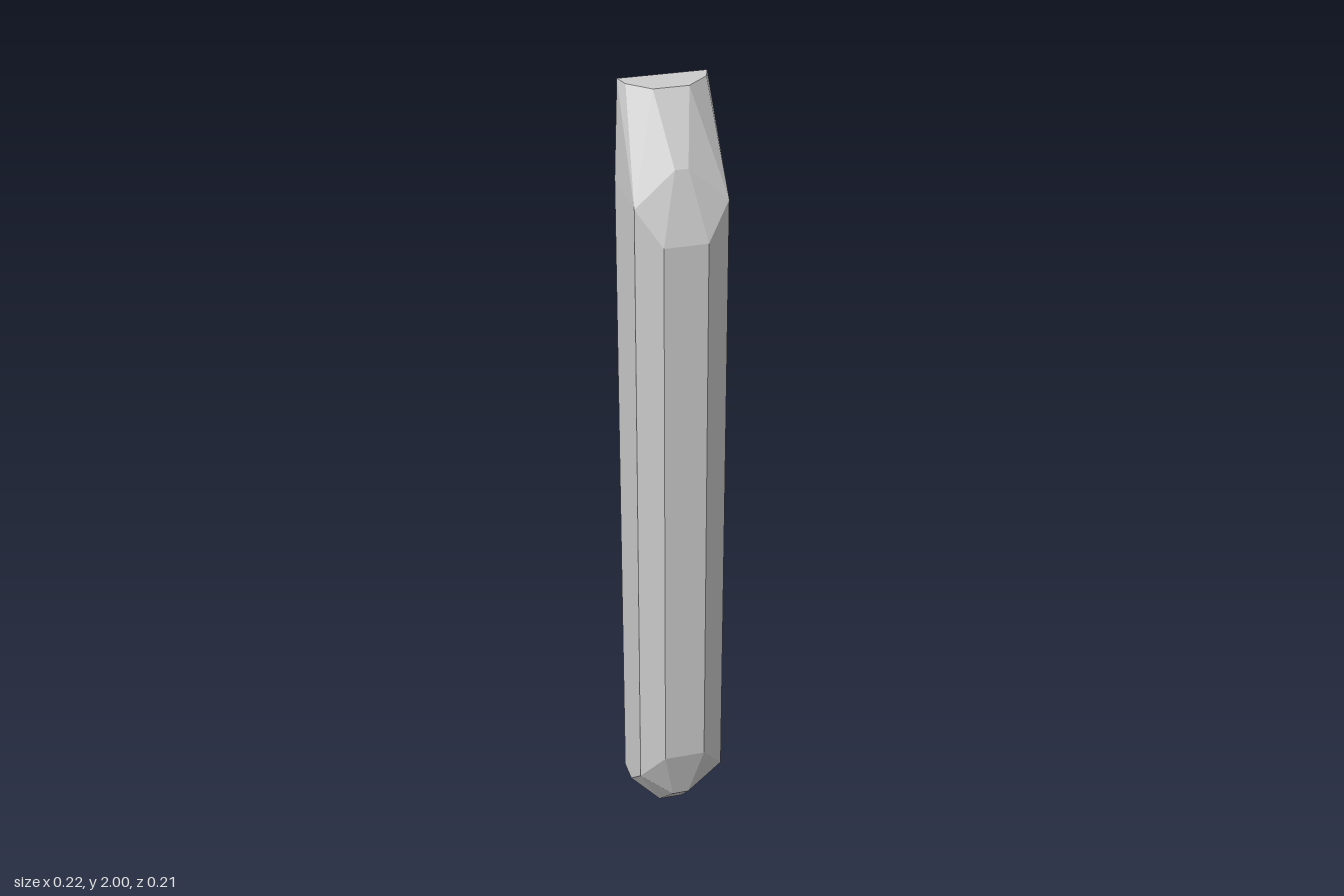
import * as THREE from 'three';
import { ConvexGeometry } from 'three/addons/geometries/ConvexGeometry.js';

// Corners of one half (x, y, z); the other half is mirrored.
const topCut = [[0.1, 2, -0.104], [0.089, 2, -0.07], [0.04, 2, -0.027]];
const shoulder = [[0.108, 1.77, -0.104], [0.105, 1.77, 0.065], [0.05, 1.69, 0.104], [0.015, 1.85, 0.062]];
const lowerBevel = [[0.05, 0.275, 0.104], [0.105, 0.2, 0.065], [0.02, 0.12, 0.063]];
const tip = [[0.106, 0.1, -0.104], [0.105, 0.105, -0.04], [0.083, 0.045, -0.104], [0.03, 0.02, -0.038], [0.033, 0, -0.104]];

export function createModel() {
  const group = new THREE.Group();
  group.name = 'bevelledBar';

  // Faceted bar: flat back, chamfered front, cut top and rounded tip
  const points = [...topCut, ...shoulder, ...lowerBevel, ...tip].flatMap(([x, y, z]) =>
    [1, -1].map((side) => new THREE.Vector3(side * x, y, z)));
  const bar = new THREE.Mesh(
    new ConvexGeometry(points),
    new THREE.MeshStandardMaterial({ color: 0xcccccc, flatShading: true })
  );
  bar.name = 'bar';
  group.add(bar);
  return group;
}
